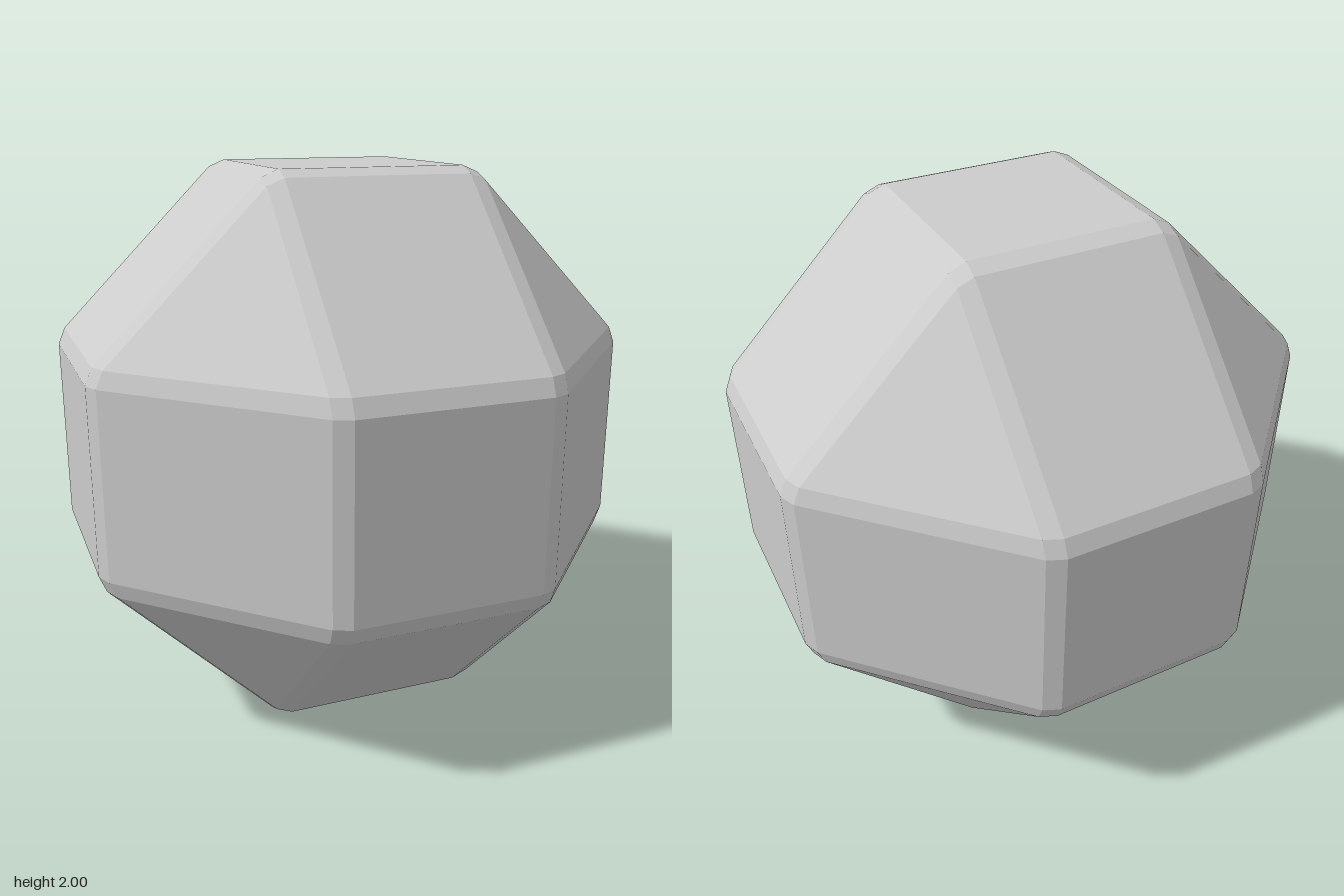
import * as THREE from 'three';
import { ConvexGeometry } from 'three/addons/geometries/ConvexGeometry.js';

// Corner points of one bevelled corner, measured along the dominant axis first
const CORNER = [
  [1.0, 0.335, 0.335],    // square face on the axis
  [0.975, 0.395, 0.335],  // slanted face, one side
  [0.975, 0.335, 0.395],  // slanted face, other side
  [0.95, 0.395, 0.395],   // triangular face
];

export function createModel() {
  const group = new THREE.Group();
  group.name = 'bevelledRhombicuboctahedron';

  // Repeat the corner for each dominant axis and each of the eight octants
  const points = [];
  for (let axis = 0; axis < 3; axis++) {
    for (const sx of [-1, 1]) for (const sy of [-1, 1]) for (const sz of [-1, 1]) {
      for (const c of CORNER) {
        const p = [0, 1, 2].map((i) => c[(i - axis + 3) % 3]);
        points.push(new THREE.Vector3(sx * p[0], sy * p[1], sz * p[2]));
      }
    }
  }

  // Solid with flat faces and narrow flat bevels
  const body = new THREE.Mesh(
    new ConvexGeometry(points),
    new THREE.MeshStandardMaterial({ color: 0xcccccc, flatShading: true })
  );
  body.name = 'facetedBody';
  body.position.y = 1;
  group.add(body);
  return group;
}
